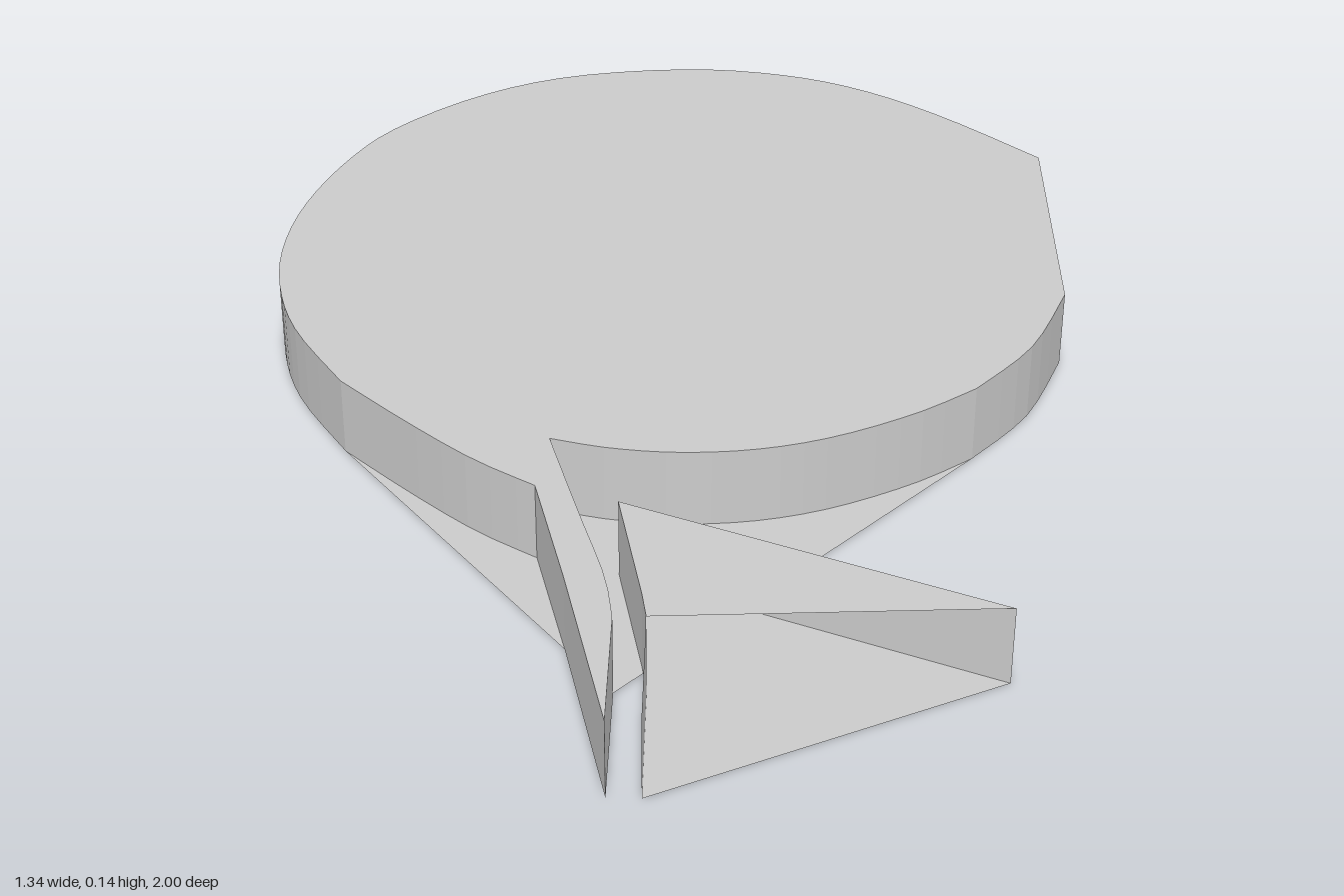
import * as THREE from 'three';

const H = 0.135;
const material = new THREE.MeshStandardMaterial({ color: 0xcccccc, flatShading: true, side: THREE.DoubleSide });

// smooth run through [x, z] points
function smooth(points, n) {
  const curve = new THREE.SplineCurve(points.map(([x, z]) => new THREE.Vector2(x, z)));
  return curve.getPoints(n).map((p) => [p.x, p.y]);
}

// horizontal sheet bounded by [x, z] points
function sheet(name, points, y) {
  const shape = new THREE.Shape(points.map(([x, z]) => new THREE.Vector2(x, -z)));
  const geo = new THREE.ShapeGeometry(shape).rotateX(-Math.PI / 2).translate(0, y, 0);
  const mesh = new THREE.Mesh(geo, material);
  mesh.name = name;
  return mesh;
}

// upright ribbon along [x, z] points, facing right of the travel direction
function wall(name, points) {
  const pos = [];
  for (let i = 0; i + 1 < points.length; i++) {
    const [ax, az] = points[i], [bx, bz] = points[i + 1];
    pos.push(ax, 0, az, bx, H, bz, bx, 0, bz, ax, 0, az, ax, H, az, bx, H, bz);
  }
  const geo = new THREE.BufferGeometry();
  geo.setAttribute('position', new THREE.Float32BufferAttribute(pos, 3));
  geo.computeVertexNormals();
  const mesh = new THREE.Mesh(geo, material);
  mesh.name = name;
  return mesh;
}

export function createModel() {
  const model = new THREE.Group();
  model.name = 'roundPlateWithTail';

  // round body, cut flat at +x
  const leftRim = smooth([[-0.52, 0.15], [-0.61, 0], [-0.655, -0.13], [-0.672, -0.27], [-0.655, -0.43],
    [-0.6, -0.6], [-0.52, -0.74], [-0.37, -0.88], [-0.2, -0.965], [0.02, -1], [0.2, -0.98],
    [0.35, -0.92], [0.5, -0.81], [0.67, -0.645]], 48);
  const rightRim = smooth([[0.67, -0.15], [0.6, 0.02], [0.5, 0.15]], 8);
  const frontRim = smooth([[0.5, 0.15], [0.4, 0.225], [0.27, 0.295], [0.15, 0.333], [0.03, 0.345],
    [-0.08, 0.335], [-0.175, 0.31]], 20);
  const neck = smooth([[-0.19, 0.44], [-0.29, 0.37], [-0.4, 0.27], [-0.52, 0.15]], 8);
  const slit = smooth([[-0.175, 0.31], [-0.12, 0.51], [-0.075, 0.67], [-0.06, 0.77]], 8);

  // narrow stem joins the body on its -x side
  const outline = [[-0.062, 1], [-0.135, 0.67], ...neck, ...leftRim.slice(1), ...rightRim,
    ...frontRim.slice(1), ...slit.slice(1), [-0.062, 1]];
  model.add(sheet('bodyTop', outline.slice(0, -1), H));
  model.add(wall('bodyWall', outline));

  // base sheet runs straight from the rim to a point under the stem
  model.add(sheet('bodyBase', [[-0.06, 0.77], ...leftRim, ...rightRim], 0));

  // tail fin, open at the front
  const tip = [0.515, 0.735], back = [-0.062, 0.48], corner = [-0.012, 1];
  const side = [back, [-0.02, 0.71], [-0.012, 0.765]];
  model.add(sheet('tailTop', [...side, tip], H));
  model.add(sheet('tailBase', [...side, corner, tip], 0));
  model.add(wall('tailWall', [corner, ...side.slice().reverse(), tip]));

  return model;
}
